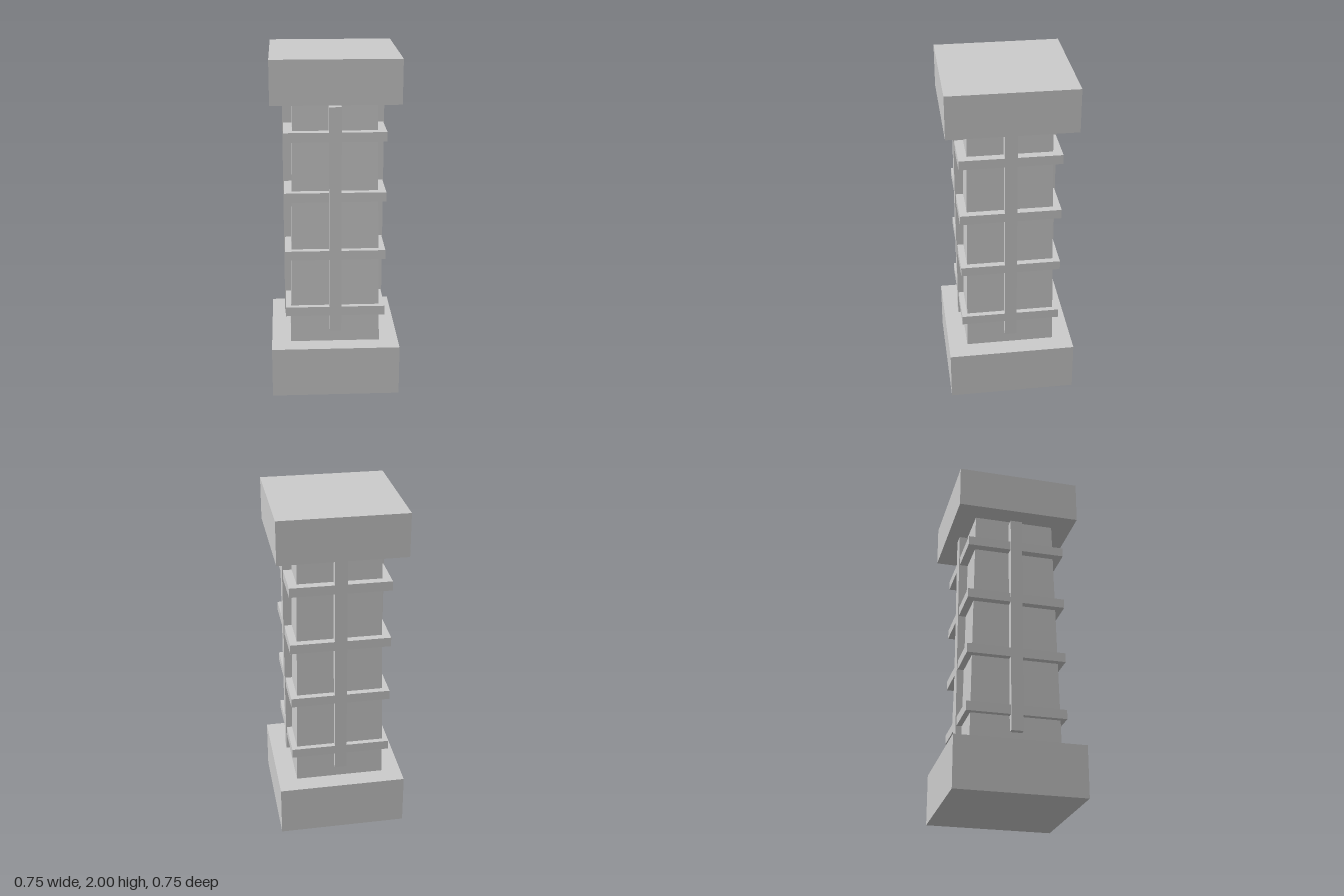
import * as THREE from 'three';

export function createModel() {
  const group = new THREE.Group();
  const material = new THREE.MeshStandardMaterial({ color: 0xcccccc, flatShading: true });

  const add = (name, geometry, x, y, z) => {
    const mesh = new THREE.Mesh(geometry, material);
    mesh.name = name;
    mesh.position.set(x, y, z);
    group.add(mesh);
    return mesh;
  };

  // Square plinth and capital
  add('base', new THREE.BoxGeometry(0.75, 0.3, 0.75), 0, 0.15, 0);
  add('capital', new THREE.BoxGeometry(0.725, 0.25, 0.725), 0, 1.875, 0);

  // Square shaft, slightly narrower at the top
  const shaft = new THREE.CylinderGeometry(0.2375 * Math.SQRT2, 0.2625 * Math.SQRT2, 1.45, 4);
  shaft.rotateY(Math.PI / 4);
  add('shaft', shaft, 0, 1.025, 0);

  // Horizontal bands around the shaft
  const band = new THREE.BoxGeometry(0.58, 0.055, 0.58);
  for (let i = 0; i < 4; i++) add('band', band, 0, 0.503 + i * 0.35, 0);

  // One upright strip on the middle of each side
  const strip = new THREE.BoxGeometry(0.07, 1.345, 0.07);
  for (let i = 0; i < 4; i++) {
    const a = (i * Math.PI) / 2;
    add('uprightStrip', strip, Math.sin(a) * 0.26, 1.0525, Math.cos(a) * 0.26).rotation.y = a;
  }

  return group;
}
